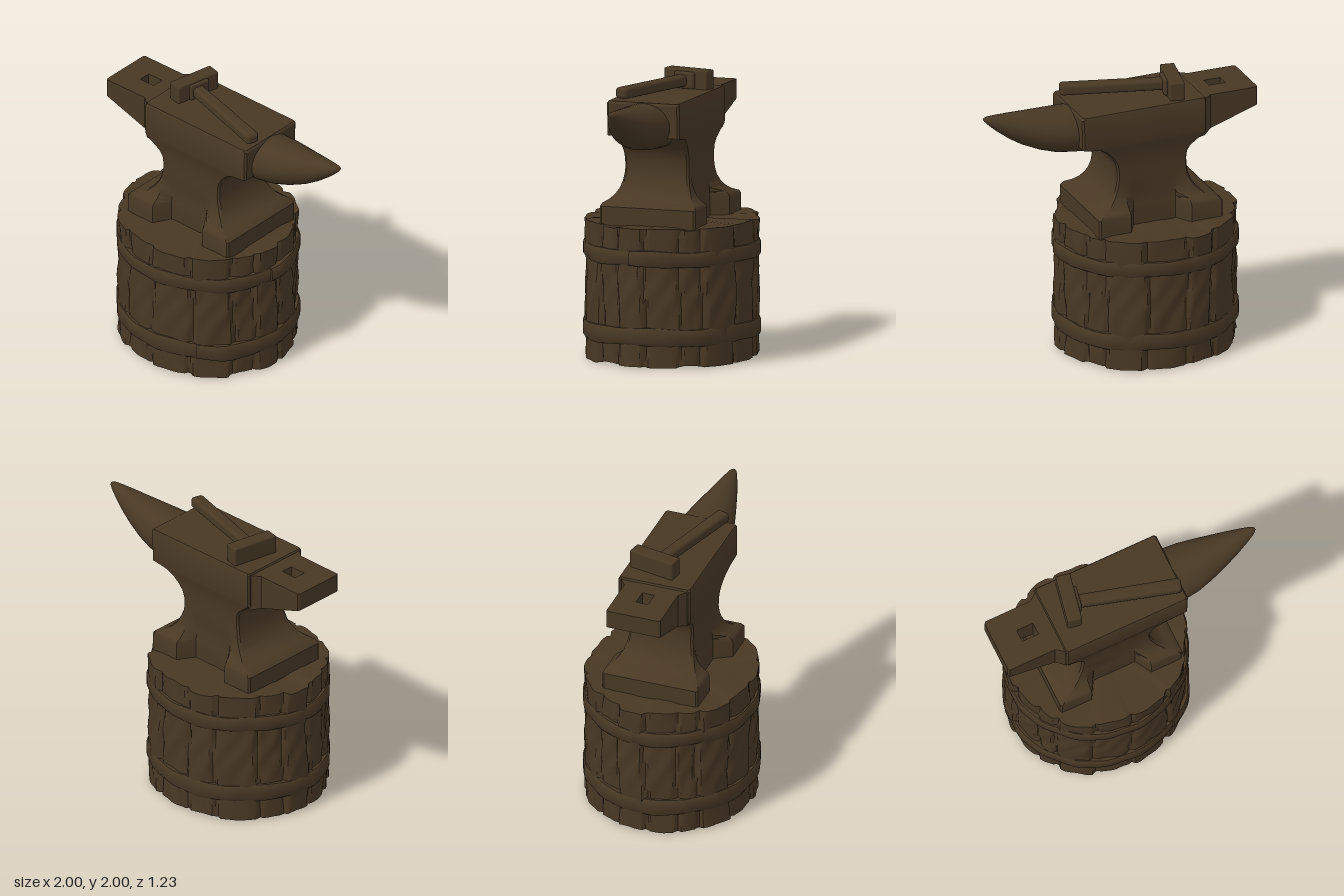
import * as THREE from 'three';
import { toCreasedNormals } from 'three/addons/utils/BufferGeometryUtils.js';
import { RoundedBoxGeometry } from 'three/addons/geometries/RoundedBoxGeometry.js';

const CX = -0.23; // stump centre
const brown = new THREE.MeshStandardMaterial({ color: 0x483824 });
brown.name = 'darkBrown';

function add(parent, name, geometry) {
  const mesh = new THREE.Mesh(geometry, brown);
  mesh.name = name;
  parent.add(mesh);
  return mesh;
}

// Skin a list of equal-length rings and close both ends with fans
function loft(rings, crease = 0.6) {
  const n = rings[0].length, last = (rings.length - 1) * n;
  const pos = rings.flat(2), index = [];
  for (let i = 0; i < rings.length - 1; i++)
    for (let j = 0; j < n; j++) {
      const a = i * n + j, b = i * n + (j + 1) % n, c = b + n, d = a + n;
      index.push(a, d, c, a, c, b);
    }
  for (const ring of [rings[0], rings[rings.length - 1]])
    for (let k = 0; k < 3; k++) pos.push(ring.reduce((s, p) => s + p[k], 0) / n);
  const c0 = rings.length * n;
  for (let j = 0; j < n; j++) {
    const k = (j + 1) % n;
    index.push(c0, j, k, c0 + 1, last + k, last + j);
  }
  const g = new THREE.BufferGeometry();
  g.setAttribute('position', new THREE.Float32BufferAttribute(pos, 3));
  g.setIndex(index);
  return toCreasedNormals(g, crease);
}

// Stump: irregular planks split by narrow grooves
function stumpGeometry() {
  const seams = [0, 0.5, 0.98, 1.25, 1.62, 2.05, 2.3, 2.8, 3.25, 3.6, 4.1, 4.4, 4.78, 5.15, 5.4, 5.85];
  const g = new THREE.CylinderGeometry(1, 1, 0.97, 192, 22);
  const p = g.attributes.position;
  for (let i = 0; i < p.count; i++) {
    const x = p.getX(i), z = p.getZ(i), y = p.getY(i) + 0.495;
    if (Math.hypot(x, z) < 0.5) { p.setXYZ(i, CX, y, 0); continue; }
    const t = (Math.atan2(x, z) + Math.PI * 2) % (Math.PI * 2);
    // Seams wander a little along the height
    const w = t + 0.025 * Math.sin(7 * y + 3 * Math.sin(t));
    let gap = 9, plank = 0;
    seams.forEach((s, k) => {
      const d = Math.abs(w - s);
      gap = Math.min(gap, d, Math.PI * 2 - d);
      if (w >= s) plank = k;
    });
    if (w < 0 || w >= Math.PI * 2) plank = seams.length - 1;
    const groove = 0.024 * Math.max(0, 1 - gap / 0.045);
    const edge = Math.min(1, gap / 0.06);
    const r = edge * 0.011 * Math.sin(plank * 2.4) - groove
      + 0.004 * Math.sin(23 * t + 5 * Math.sin(6 * y)) + 0.004 * Math.sin(11 * y + 4 * Math.sin(t * 3));
    const chip = edge * 0.009 * (1 + Math.sin(plank * 4.1)) + 0.4 * groove;
    const yy = y > 0.97 ? y + 0.008 - chip : y < 0.02 ? y - 0.008 + chip : y;
    p.setXYZ(i, CX + x * (0.64 + r), yy, z * (0.597 + r));
  }
  return toCreasedNormals(g, 0.6);
}

// Band around the stump; its first stretch laps over its tail
function bandGeometry(y, h, start) {
  const rings = [], steps = 120, sweep = Math.PI * 2 + 0.25;
  for (let i = 0; i <= steps; i++) {
    const u = sweep * i / steps, t = start + u;
    const lift = 0.014 * (1 - THREE.MathUtils.smoothstep(u, 0.35, 0.6))
      + 0.003 * Math.sin(t * 9) + 0.003 * Math.sin(t * 17);
    const k = h * (1 + 0.06 * Math.sin(t * 8)), yy = y + 0.005 * Math.sin(t * 5);
    rings.push([[-0.03, -k], [0.008, -k], [0.02, -0.7 * k], [0.02, 0.7 * k], [0.008, k], [-0.03, k]]
      .map(([d, v]) => [CX + Math.sin(t) * (0.64 + d + lift), yy + v, Math.cos(t) * (0.597 + d * 0.8 + lift)]));
  }
  return loft(rings, 0.7);
}

// Anvil body: flared feet with a notch front and back, narrow waist, square top
function bodyGeometry() {
  // y, left x, right x, half depth, half depth in the notch
  const rows = [
    [0.95, -0.67, 0.27, 0.355, 0.235], [1.105, -0.67, 0.27, 0.355, 0.235],
    [1.125, -0.65, 0.25, 0.345, 0.233], [1.145, -0.59, 0.2, 0.315, 0.231],
    [1.175, -0.54, 0.16, 0.285, 0.229], [1.215, -0.5, 0.125, 0.263, 0.227],
    [1.26, -0.472, 0.102, 0.248, 0.228], [1.31, -0.455, 0.085, 0.24, 0.236],
    [1.36, -0.448, 0.079, 0.236, 0.236], [1.42, -0.445, 0.082, 0.237, 0.237],
    [1.47, -0.45, 0.095, 0.24, 0.24], [1.515, -0.475, 0.125, 0.245, 0.245],
    [1.56, -0.53, 0.165, 0.253, 0.253], [1.6, -0.58, 0.225, 0.263, 0.263],
    [1.622, -0.583, 0.355, 0.268, 0.268], [1.85, -0.583, 0.36, 0.268, 0.268],
    [1.866, -0.575, 0.35, 0.26, 0.26]];
  return loft(rows.map(([y, a, b, h, n]) => {
    const half = [[a, -h + 0.015], [a + 0.012, -h], [-0.43, -h], [-0.36, -n], [-0.04, -n], [0.03, -h],
      [b - 0.012, -h], [b, -h + 0.015]];
    const other = half.map(([x, z]) => [x, -z]).reverse();
    return [...half, ...other].map(([x, z]) => [x, y, z]);
  }), 0.55);
}

// Heel: plan outline with a square hole, underside sloping down to the waist
function heelGeometry() {
  const s = new THREE.Shape([[-0.99, -0.2], [-0.64, -0.2], [-0.575, -0.25], [-0.45, -0.22], [-0.45, 0.22],
    [-0.575, 0.25], [-0.64, 0.2], [-0.99, 0.2], [-1, 0.185], [-1, -0.185]].map(p => new THREE.Vector2(...p)));
  s.holes.push(new THREE.Path([[-0.82, -0.045], [-0.82, 0.045], [-0.695, 0.045], [-0.695, -0.045]]
    .map(p => new THREE.Vector2(...p))));
  const g = new THREE.ExtrudeGeometry(s, { depth: 1, bevelEnabled: false });
  g.rotateX(-Math.PI / 2);
  const p = g.attributes.position;
  for (let i = 0; i < p.count; i++) {
    const x = p.getX(i);
    p.setY(i, p.getY(i) > 0.5 ? 1.858 + 0.01 * x : 1.715 - 0.33 * (x + 1));
  }
  g.computeVertexNormals();
  return toCreasedNormals(g, 0.4);
}

// Horn: elliptical sections, nearly level on top and sweeping up beneath
function hornGeometry() {
  const rows = [[0.02, 1.5, 1.83, 0.18], [0.13, 1.515, 1.845, 0.195], [0.25, 1.522, 1.855, 0.2],
    [0.36, 1.532, 1.862, 0.2], [0.48, 1.55, 1.867, 0.187], [0.6, 1.587, 1.873, 0.158],
    [0.72, 1.642, 1.88, 0.122], [0.82, 1.705, 1.885, 0.09], [0.91, 1.775, 1.889, 0.057],
    [0.97, 1.83, 1.889, 0.032], [0.993, 1.855, 1.884, 0.018], [1, 1.866, 1.876, 0.006]];
  return loft(rows.map(([x, lo, hi, w]) => Array.from({ length: 32 }, (_, j) => {
    const t = j / 32 * Math.PI * 2;
    return [x, (lo + hi) / 2 - (hi - lo) / 2 * Math.cos(t), w * Math.sin(t)];
  })), 1);
}

export function createModel() {
  const model = new THREE.Group();
  model.name = 'anvilOnStump';

  const stump = new THREE.Group();
  stump.name = 'stump';
  add(stump, 'planks', stumpGeometry());
  add(stump, 'upperBand', bandGeometry(0.77, 0.054, 1.45));
  add(stump, 'lowerBand', bandGeometry(0.218, 0.06, 0.56));

  const anvil = new THREE.Group();
  anvil.name = 'anvil';
  add(anvil, 'body', bodyGeometry());
  add(anvil, 'heel', heelGeometry());
  add(anvil, 'horn', hornGeometry());

  // Hammer lying on the anvil face
  const hammer = new THREE.Group();
  hammer.name = 'hammer';
  hammer.position.set(-0.41, 1.86, -0.06);
  hammer.rotation.y = -0.2;
  add(hammer, 'hammerHead', new RoundedBoxGeometry(0.105, 0.14, 0.35, 3, 0.012)).position.y = 0.07;
  add(hammer, 'hammerCollar', new RoundedBoxGeometry(0.06, 0.12, 0.16, 3, 0.015)).position.set(0.045, 0.065, 0);
  const handleGeometry = new RoundedBoxGeometry(0.76, 0.08, 0.092, 4, 0.025);
  const p = handleGeometry.attributes.position;
  for (let i = 0; i < p.count; i++) p.setZ(i, p.getZ(i) * (1 + 0.2 * p.getX(i)));
  const handle = add(hammer, 'hammerHandle', handleGeometry);
  handle.position.set(0.41, 0.062, 0.045);
  handle.rotation.y = -0.08;

  model.add(stump, anvil, hammer);
  return model;
}
